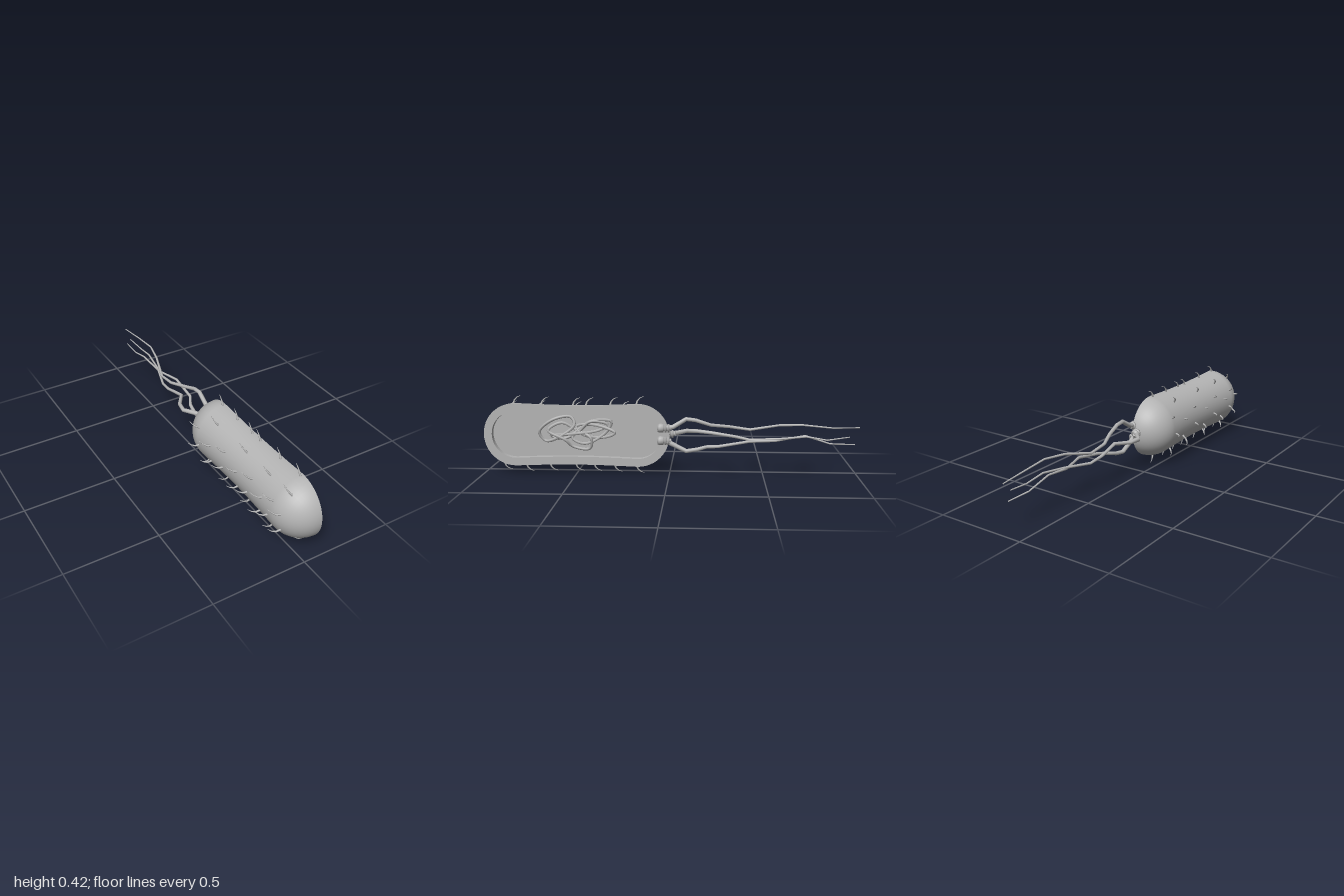
import * as THREE from 'three';

const V = (x, y, z) => new THREE.Vector3(x, y, z);
const FACE_X = 0.079, FLOOR_X = 0.046, MID_Y = 0.225, R = 0.17;

// Skin between successive rings of points
function loft(rings, closed = true) {
  const n = rings[0].length, cols = closed ? n : n - 1, index = [];
  for (let i = 0; i < rings.length - 1; i++)
    for (let j = 0; j < cols; j++) {
      const a = i * n + j, b = i * n + (j + 1) % n;
      index.push(a, b, a + n, b, b + n, a + n);
    }
  const g = new THREE.BufferGeometry().setFromPoints(rings.flat());
  g.setIndex(index);
  g.computeVertexNormals();
  return g;
}

// Tapered tube with crisp bends along a list of points
function taperedTube(points, r0, r1, sides) {
  return loft(points.map((p, i) => {
    const last = points.length - 1;
    const t = points[Math.min(i + 1, last)].clone().sub(points[Math.max(i - 1, 0)]).normalize();
    const u = V(0.31, 0.9, 0.05).cross(t).normalize();
    const w = t.clone().cross(u);
    const r = THREE.MathUtils.lerp(r0, r1, i / last);
    return Array.from({ length: sides }, (_, k) => {
      const a = k / sides * Math.PI * 2;
      return p.clone().addScaledVector(u, r * Math.cos(a)).addScaledVector(w, r * Math.sin(a));
    });
  }));
}

// Capsule half-profile [z, radius] with a slight waist, inset by d
function profile(d) {
  const pts = [], n = 12, r = R - d;
  for (let i = 0; i <= n; i++) {
    const a = i / n * Math.PI / 2;
    pts.push([R - r * Math.cos(a), r * Math.sin(a)]);
  }
  for (const z of [0.27, 0.38, 0.5, 0.62, 0.73])
    pts.push([z, r - 0.009 * Math.sin((z - R) / (1 - 2 * R) * Math.PI)]);
  for (let i = n; i >= 0; i--) {
    const a = i / n * Math.PI / 2;
    pts.push([1 - R + r * Math.cos(a), r * Math.sin(a)]);
  }
  return pts;
}

function outline(d, x) {
  const p = profile(d);
  return [
    ...p.map(([z, r]) => V(x, MID_Y + r, z)),
    ...p.slice(1, -1).reverse().map(([z, r]) => V(x, MID_Y - r, z)),
  ];
}

export function createModel() {
  const group = new THREE.Group();
  const grey = new THREE.MeshStandardMaterial({ color: 0xb4b4b4, side: THREE.DoubleSide });
  grey.name = 'grey';
  const add = (name, geometry, parent = group) => {
    const m = new THREE.Mesh(geometry, grey);
    m.name = name;
    parent.add(m);
    return m;
  };
  const addGroup = name => {
    const g = new THREE.Group();
    g.name = name;
    group.add(g);
    return g;
  };

  // Half capsule shell
  const shell = add('cellWall', new THREE.LatheGeometry(
    profile(0).map(([z, r]) => new THREE.Vector2(r, z)), 20, Math.PI, Math.PI));
  shell.rotation.x = Math.PI / 2;
  shell.position.set(FACE_X, MID_Y, 0);

  // Cut face: flat rim, recess wall and recessed floor
  add('rim', loft([outline(0, FACE_X), outline(0.043, FACE_X)]));
  add('recessWall', loft([outline(0.043, FACE_X), outline(0.043, FLOOR_X)]));
  const floor = add('cytoplasm', new THREE.ShapeGeometry(new THREE.Shape(
    outline(0.043, 0).map(p => new THREE.Vector2(-p.z, p.y)))));
  floor.rotation.y = Math.PI / 2;
  floor.position.x = FLOOR_X;

  // Tangled strand: closed loops given as [z, y], weaving in x
  const strand = addGroup('geneticStrand');
  [
    [[0.70, 0.24], [0.62, 0.31], [0.53, 0.32], [0.51, 0.28], [0.60, 0.21], [0.67, 0.19]],
    [[0.65, 0.25], [0.58, 0.29], [0.50, 0.25], [0.42, 0.21], [0.43, 0.15], [0.52, 0.16], [0.56, 0.20]],
    [[0.52, 0.21], [0.44, 0.29], [0.36, 0.31], [0.31, 0.30], [0.34, 0.24], [0.45, 0.18]],
    [[0.50, 0.27], [0.40, 0.28], [0.29, 0.24], [0.36, 0.21], [0.47, 0.23]],
    [[0.64, 0.22], [0.54, 0.23], [0.38, 0.25], [0.33, 0.28], [0.42, 0.30], [0.49, 0.24], [0.58, 0.20]],
  ].forEach((loop, k) => {
    const pts = loop.map(([z, y], i) => V(0.068 + 0.013 * Math.sin(i * 2.1 + k * 1.4), y, z));
    add('strandLoop' + (k + 1), new THREE.TubeGeometry(
      new THREE.CatmullRomCurve3(pts, true), 48, 0.008, 6, true), strand);
  });

  // Tail filaments as [x, y, z] paths
  const tails = addGroup('flagella');
  [
    [[0.08, 0.27, 0.02], [0.08, 0.275, -0.02], [0.08, 0.318, -0.09], [0.08, 0.312, -0.14],
     [0.07, 0.285, -0.22], [0.03, 0.27, -0.32], [0.03, 0.255, -0.43], [0.075, 0.288, -0.58],
     [0.10, 0.295, -0.70], [0.10, 0.28, -0.86], [0.08, 0.28, -1.0]],
    [[0.05, 0.232, 0.01], [0.02, 0.232, -0.04], [-0.022, 0.236, -0.09], [-0.012, 0.236, -0.15],
     [0.04, 0.238, -0.22], [0.025, 0.215, -0.35], [0.035, 0.20, -0.43], [0.08, 0.215, -0.58],
     [0.095, 0.232, -0.72], [0.10, 0.215, -0.83], [0.085, 0.23, -0.95]],
    [[0.08, 0.20, 0.02], [0.08, 0.18, -0.02], [0.08, 0.145, -0.09], [0.08, 0.155, -0.15],
     [0.085, 0.17, -0.20], [0.12, 0.18, -0.26], [0.12, 0.208, -0.42], [0.08, 0.205, -0.56],
     [0.06, 0.23, -0.72], [0.07, 0.19, -0.85], [0.075, 0.188, -0.98]],
  ].forEach((path, i) => add('flagellum' + (i + 1),
    taperedTube(path.map(p => V(...p)), 0.014, 0.003, 8), tails));

  // Root of each tail: a cup followed by two rings, along z
  const roots = addGroup('flagellumRoots');
  [[0.08, 0.268, 0], [0.08, 0.2, 0], [0.05, 0.232, -0.02]].forEach(([x, y, z], i) => {
    const pts = [[0, 0.066], [0.02, 0.062], [0.025, 0.05], [0.023, 0.032], [0.014, 0.03],
      [0.014, 0.025], [0.024, 0.024], [0.024, 0.016], [0.014, 0.015], [0.014, 0.01],
      [0.022, 0.009], [0.022, 0], [0.012, -0.001], [0.012, -0.01]]
      .map(([r, h]) => new THREE.Vector2(r, h)).reverse();
    const m = add('root' + (i + 1), new THREE.LatheGeometry(pts, 14), roots);
    m.rotation.x = Math.PI / 2;
    m.position.set(x, y, z);
  });

  // Bent hairs in rows around the shell: angle from the back of the dome, then z positions
  const hairs = addGroup('pili');
  const rows = [
    [84, [0.17, 0.31, 0.44, 0.51, 0.68, 0.83]],
    [52, [0.26, 0.52, 0.72, 0.88]],
    [25, [0.16, 0.40, 0.64, 0.82]],
    [12, [0.28, 0.52, 0.74, 0.88]],
    [-8, [0.18, 0.40, 0.62, 0.80]],
    [-24, [0.28, 0.52, 0.72, 0.88]],
    [-48, [0.20, 0.38, 0.58, 0.78]],
    [-84, [0.17, 0.29, 0.40, 0.50, 0.64, 0.77, 0.89]],
  ];
  for (const [deg, zs] of rows)
    for (const z of zs) {
      const a = deg * Math.PI / 180;
      const cap = z < R ? R - z : Math.max(0, z - 1 + R);
      const r = cap ? Math.sqrt(R * R - cap * cap)
        : R - 0.009 * Math.sin((z - R) / (1 - 2 * R) * Math.PI);
      const n = V(-Math.cos(a), Math.sin(a), 0), side = V(Math.sin(a), Math.cos(a), 0);
      const base = V(FACE_X, MID_Y, z).addScaledVector(n, r);
      const at = (out, tan, dz) => base.clone().addScaledVector(n, out)
        .addScaledVector(side, tan).add(V(0, 0, dz));
      add('pilus', taperedTube(
        [at(-0.006, 0, 0.008), at(0.018, 0.001, 0), at(0.032, 0.004, -0.014), at(0.041, 0.009, -0.035)],
        0.006, 0.001, 6), hairs);
    }

  return group;
}
